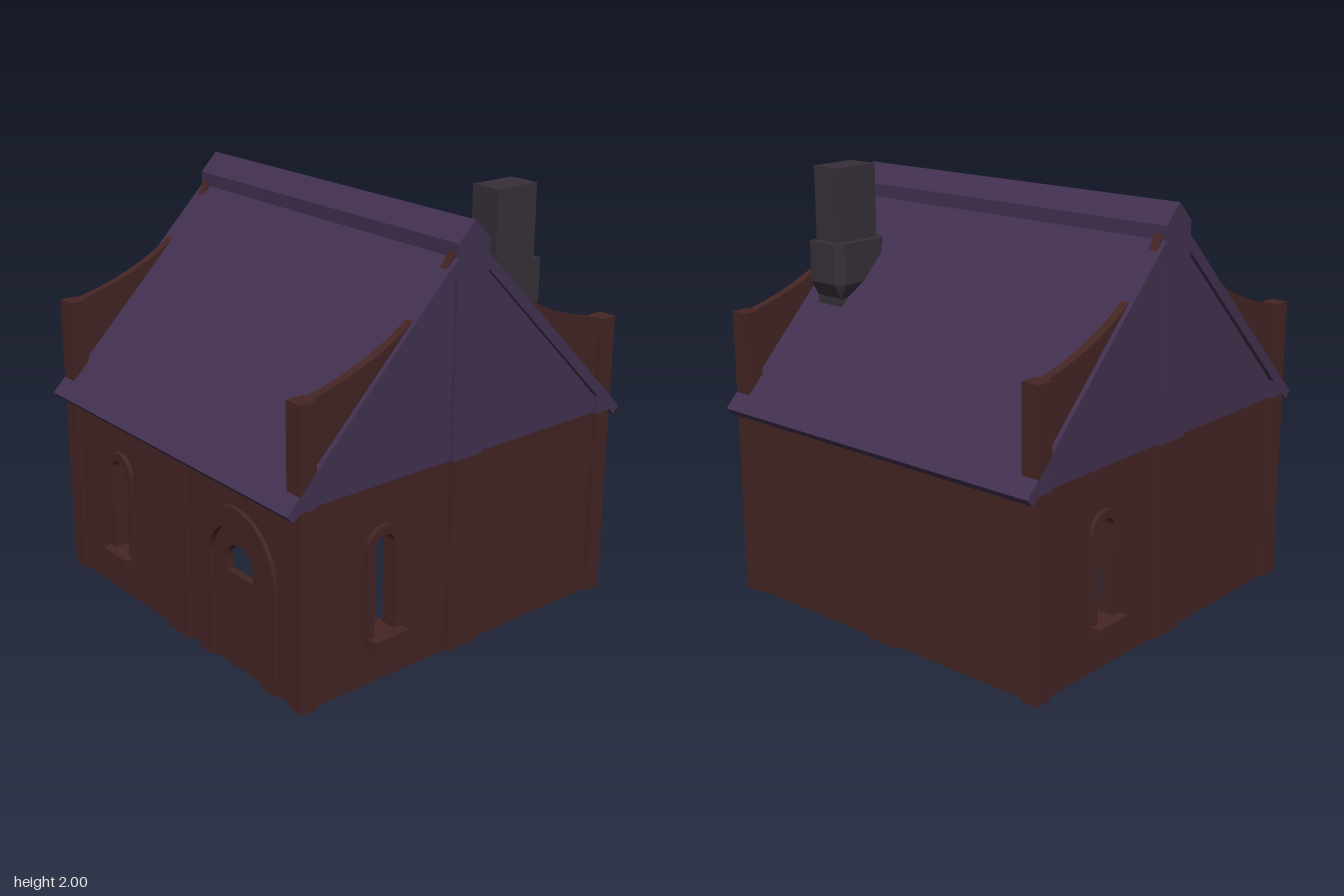
import * as THREE from 'three';

const mat = (name, color) => Object.assign(new THREE.MeshStandardMaterial({ color }), { name });

export function createModel() {
  const brown = mat('brown wall', 0x442524);
  const purple = mat('purple roof', 0x423150);
  const grey = mat('grey chimney', 0x373039);
  const house = new THREE.Group();
  house.name = 'house';

  const add = (parent, name, geometry, material) => {
    const mesh = new THREE.Mesh(geometry, material);
    mesh.name = name;
    parent.add(mesh);
    return mesh;
  };
  // box from its limits
  const box = (x0, x1, y0, y1, z0, z1) =>
    new THREE.BoxGeometry(x1 - x0, y1 - y0, z1 - z0).translate((x0 + x1) / 2, (y0 + y1) / 2, (z0 + z1) / 2);
  // flat shape pushed out along z
  const alongZ = (shape, z0, z1) =>
    new THREE.ExtrudeGeometry(shape, { depth: z1 - z0, bevelEnabled: false, curveSegments: 16 }).translate(0, 0, z0);
  // [z, y] outline pushed out along x
  const alongX = (points, x0, x1) =>
    alongZ(new THREE.Shape(points.map(([z, y]) => new THREE.Vector2(-z, y))), x0, x1).rotateY(Math.PI / 2);
  // round-headed outline: straight sides from y0 to yc, then a half circle
  const arch = (Type, cx, r, y0, yc) => {
    const s = new Type();
    s.moveTo(cx - r, y0);
    s.lineTo(cx + r, y0);
    s.lineTo(cx + r, yc);
    s.absarc(cx, yc, r, 0, Math.PI, false);
    s.closePath();
    return s;
  };

  // Four walls, each made facing +z and turned into place
  const winX = -0.457, doorX = 0.453;
  const makeWall = (name, angle, hasWindow, hasDoor) => {
    const g = new THREE.Group();
    g.name = name;
    const panel = new THREE.Shape();
    panel.moveTo(-0.885, 0);
    if (hasDoor) {
      panel.lineTo(doorX - 0.2, 0);
      panel.lineTo(doorX - 0.2, 0.5);
      panel.absarc(doorX, 0.5, 0.2, Math.PI, 0, true);
      panel.lineTo(doorX + 0.2, 0);
    }
    panel.lineTo(0.885, 0);
    panel.lineTo(0.885, 0.91);
    panel.lineTo(-0.885, 0.91);
    panel.closePath();
    if (hasWindow) {
      panel.holes.push(arch(THREE.Path, winX, 0.07, 0.2, 0.632));
      const frame = arch(THREE.Shape, winX, 0.0975, 0.19, 0.63);
      frame.holes.push(arch(THREE.Path, winX, 0.056, 0.21, 0.632));
      add(g, 'windowFrame', alongZ(frame, 0.825, 0.905), brown);
      add(g, 'windowSill', box(winX - 0.0975, winX + 0.0975, 0.185, 0.23, 0.8, 0.953), brown);
    }
    if (hasDoor) {
      // arched surround, open at the floor
      const surround = new THREE.Shape();
      surround.moveTo(doorX - 0.272, 0);
      surround.lineTo(doorX - 0.183, 0);
      surround.lineTo(doorX - 0.183, 0.502);
      surround.absarc(doorX, 0.502, 0.183, Math.PI, 0, true);
      surround.lineTo(doorX + 0.183, 0);
      surround.lineTo(doorX + 0.272, 0);
      surround.lineTo(doorX + 0.272, 0.502);
      surround.absarc(doorX, 0.502, 0.272, 0, Math.PI, false);
      surround.closePath();
      add(g, 'doorSurround', alongZ(surround, 0.825, 0.905), brown);
      const door = arch(THREE.Shape, doorX, 0.19, 0, 0.502);
      door.holes.push(arch(THREE.Path, doorX, 0.093, 0.45, 0.5));
      add(g, 'door', alongZ(door, 0.845, 0.88), brown);
    }
    add(g, 'wallPanel', alongZ(panel, 0.845, 0.885), brown);
    add(g, 'pilaster', box(-0.087, 0.087, 0, 0.91, 0.82, 0.906), brown);
    add(g, 'cornerPost', box(0.82, 0.906, 0, 0.91, 0.82, 0.906), brown);
    g.rotation.y = angle;
    house.add(g);
  };
  makeWall('frontWall', 0, true, true);
  makeWall('leftWall', Math.PI / 2, true, false);
  makeWall('backWall', Math.PI, false, false);
  makeWall('rightWall', -Math.PI / 2, true, false);

  // Roof: gable block with flat ceiling, sloping slabs and ridge cap
  add(house, 'gable', alongX([[-0.9, 0.91], [0.9, 0.91], [0, 1.82]], -0.886, 0.886), purple);
  add(house, 'roofSlabs', alongX(
    [[0, 1.885], [0.972, 0.915], [0.938, 0.88], [0, 1.815], [-0.938, 0.88], [-0.972, 0.915]], -0.906, 0.906), purple);
  add(house, 'ridgeCap', alongX(
    [[-0.087, 1.7], [0.087, 1.7], [0.087, 1.86], [0, 1.947], [-0.087, 1.86]], -0.906, 0.906), purple);

  // Curved gable parapets, post tops and purple gable trim
  const curve = new THREE.QuadraticBezierCurve(
    new THREE.Vector2(0.83, 1.363), new THREE.Vector2(0.2675, 1.4825), new THREE.Vector2(0.08, 1.835));
  const parapet = [...curve.getPoints(20).map(p => [p.x, p.y]), [0.08, 1.68], [0.83, 0.99]];
  const postTop = [[0.82, 1.06], [0.906, 0.975], [0.906, 1.363], [0.82, 1.363]];
  const postTrim = [[0.82, 0.91], [0.906, 0.91], [0.82, 0.996]];
  for (const sx of [-1, 1]) {
    const span = (a, b) => (sx > 0 ? [a, b] : [-b, -a]);
    add(house, 'gablePilaster', box(...span(0.82, 0.906), 0.91, 1.72, -0.087, 0.087), purple);
    for (const sz of [-1, 1]) {
      const flip = pts => pts.map(([z, y]) => [z * sz, y]);
      add(house, 'parapet', alongX(flip(parapet), ...span(0.843, 0.884)), brown);
      add(house, 'postTop', alongX(flip(postTop), ...span(0.82, 0.906)), brown);
      add(house, 'postTrim', alongX(flip(postTrim), ...span(0.82, 0.906)), purple);
    }
  }

  // Chimney: plain shaft with a wider collar that tapers into it
  const chimney = new THREE.Group();
  chimney.name = 'chimney';
  house.add(chimney);
  add(chimney, 'shaft', box(0.592, 0.746, 1.2, 2, -0.525, -0.292), grey);
  const outline = [[0.748, 0.258], [0.748, 0.565], [0.592, 0.565], [0.557, 0.527], [0.557, 0.296], [0.592, 0.258]];
  const collar = (y0, y1) =>
    alongZ(new THREE.Shape(outline.map(p => new THREE.Vector2(...p))), y0, y1).rotateX(-Math.PI / 2);
  add(chimney, 'collar', collar(1.47, 1.66), grey);
  const taper = collar(1.4, 1.47);
  const pos = taper.attributes.position;
  for (let i = 0; i < pos.count; i++) {
    if (pos.getY(i) > 1.43) continue;
    pos.setX(i, Math.max(0.592, Math.min(0.746, pos.getX(i))));
    pos.setZ(i, Math.max(-0.525, Math.min(-0.292, pos.getZ(i))));
  }
  taper.computeVertexNormals();
  add(chimney, 'collarTaper', taper, grey);

  return house;
}
